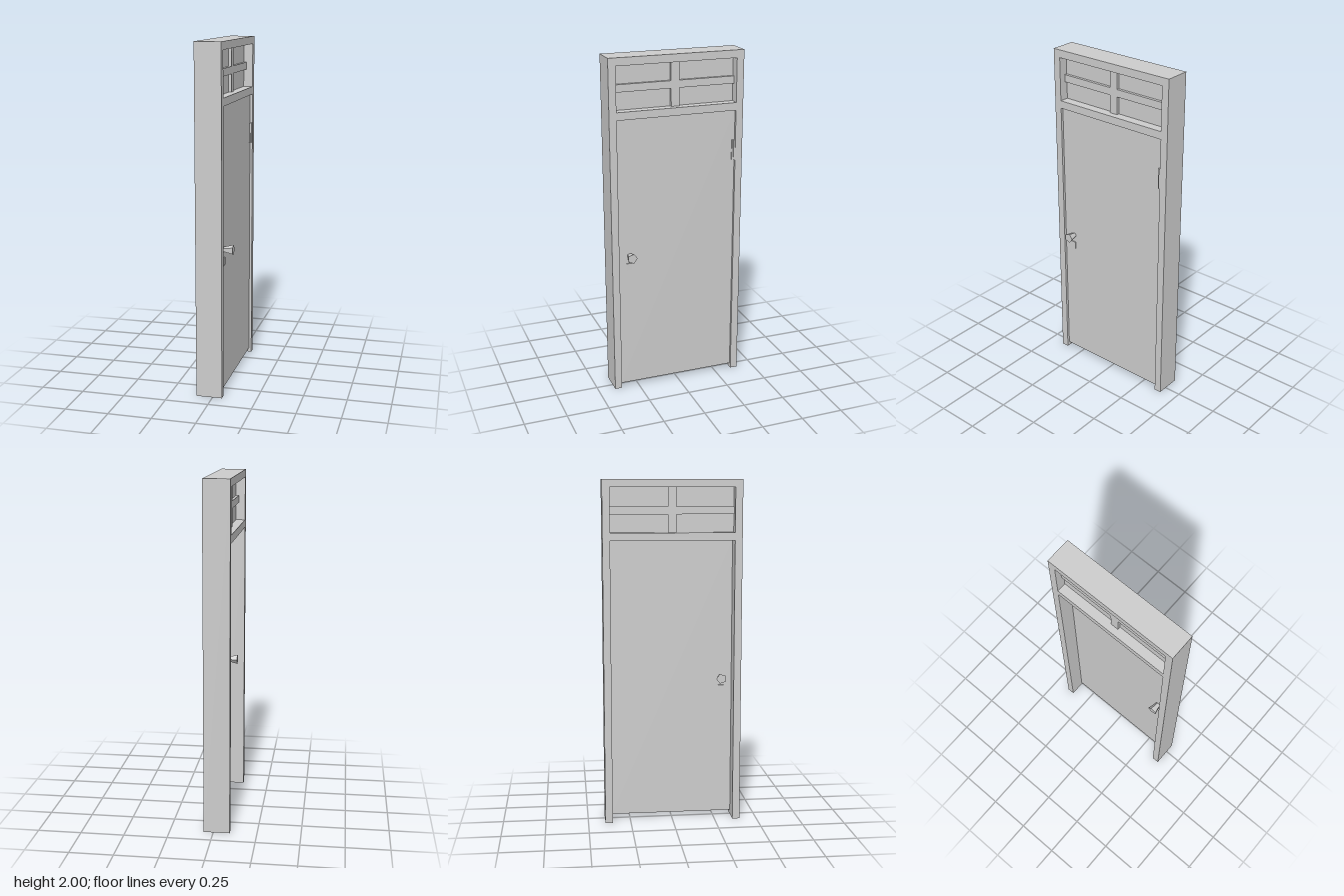
import * as THREE from 'three';

const grey = new THREE.MeshStandardMaterial({ color: 0xcccccc });
grey.name = 'plain grey';

// Frame depth, door slab depth and opening limits
const BACK = -0.095, FRONT = 0.055;
const DOOR_BACK = -0.005, DOOR_FRONT = 0.04;
const Z_MIN = -0.357, Z_MAX = 0.357;
const DOOR_TOP = 1.655, PANE_LOW = 1.7, PANE_HIGH = 1.955;

export function createModel() {
  const model = new THREE.Group();
  model.name = 'door';

  function add(name, geometry, parent = model) {
    const mesh = new THREE.Mesh(geometry, grey);
    mesh.name = name;
    parent.add(mesh);
    return mesh;
  }

  // Box given by its limits on each axis
  function addBox(name, [x0, x1], [y0, y1], [z0, z1], parent) {
    const g = new THREE.BoxGeometry(x1 - x0, y1 - y0, z1 - z0);
    g.translate((x0 + x1) / 2, (y0 + y1) / 2, (z0 + z1) / 2);
    return add(name, g, parent);
  }

  // Frame: two jambs, head and rail, open at the floor, with a transom hole
  const points = (list) => list.map(([z, y]) => new THREE.Vector2(-z, y));
  const outline = new THREE.Shape(points([
    [0.4, 0], [Z_MAX, 0], [Z_MAX, DOOR_TOP], [Z_MIN, DOOR_TOP],
    [Z_MIN, 0], [-0.4, 0], [-0.4, 2], [0.4, 2],
  ]));
  outline.holes.push(new THREE.Path(points([
    [Z_MAX, PANE_LOW], [Z_MAX, PANE_HIGH], [Z_MIN, PANE_HIGH], [Z_MIN, PANE_LOW],
  ])));
  const frame = new THREE.ExtrudeGeometry(outline, { depth: FRONT - BACK, bevelEnabled: false });
  frame.rotateY(Math.PI / 2).translate(BACK, 0, 0);
  add('frame', frame);

  // Transom window: pane with a cross of glazing bars
  const transom = new THREE.Group();
  transom.name = 'transom';
  model.add(transom);
  const barDepth = [-0.057, 0.017];
  addBox('transomPane', [-0.04, 0], [PANE_LOW, PANE_HIGH], [Z_MIN, Z_MAX], transom);
  addBox('verticalBar', barDepth, [PANE_LOW, PANE_HIGH], [-0.024, 0.024], transom);
  addBox('leftBar', barDepth, [1.803, 1.846], [0.024, Z_MAX], transom);
  addBox('rightBar', barDepth, [1.803, 1.846], [Z_MIN, -0.024], transom);

  // Door slab
  addBox('doorSlab', [DOOR_BACK, DOOR_FRONT], [0.025, DOOR_TOP], [Z_MIN, Z_MAX]);

  // Five-sided flared knob and lock plate on both faces
  for (const [side, face] of [[1, DOOR_FRONT], [-1, DOOR_BACK]]) {
    const length = 0.055;
    const knob = new THREE.CylinderGeometry(0.03, 0.0155, length, 5, 1, false, Math.PI).toNonIndexed();
    knob.computeVertexNormals();
    knob.rotateZ(-side * Math.PI / 2).translate(face + side * length / 2, 0.846, 0.29);
    add(side > 0 ? 'frontKnob' : 'backKnob', knob);

    const plate = [face, face + side * 0.006].sort((a, b) => a - b);
    addBox(side > 0 ? 'frontLockPlate' : 'backLockPlate', plate, [0.757, 0.8], [0.278, 0.312]);
  }

  // Hinge leaf and pin beside the jamb
  addBox('hingeLeaf', [DOOR_FRONT, 0.046], [1.36, 1.48], [-0.347, -0.339]);
  addBox('hingePin', [DOOR_FRONT, 0.052], [1.36, 1.48], [Z_MIN, -0.347]);

  return model;
}
